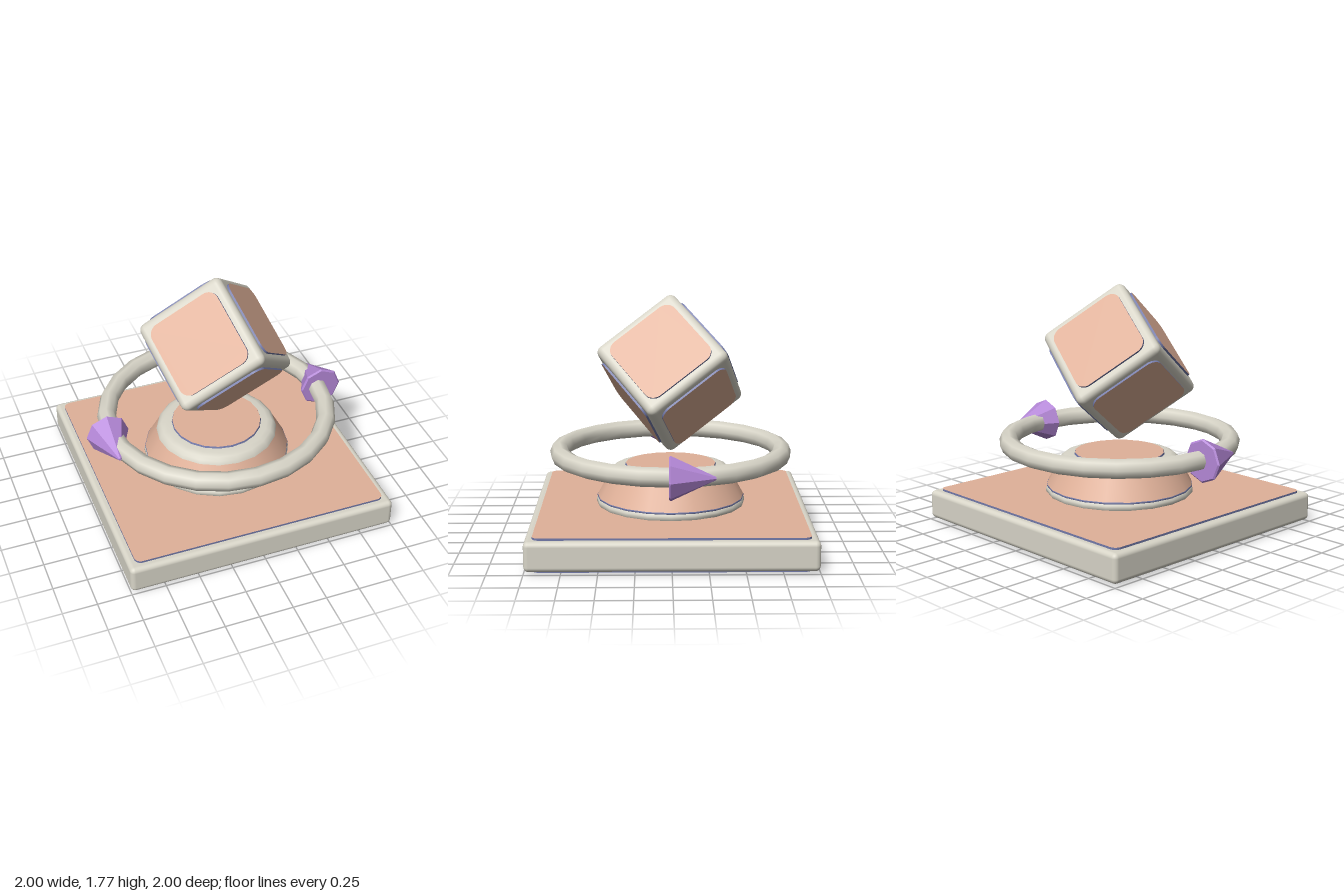
import * as THREE from 'three';
import { RoundedBoxGeometry } from 'three/addons/geometries/RoundedBoxGeometry.js';

const material = (name, color) => {
  const m = new THREE.MeshStandardMaterial({ color });
  m.name = name;
  return m;
};

// Plate with rounded corners lying on +z, from z = 0 to z = depth
function plateGeometry(half, corner, depth) {
  const s = new THREE.Shape();
  const c = half - corner;
  s.absarc(c, c, corner, 0, Math.PI / 2);
  s.absarc(-c, c, corner, Math.PI / 2, Math.PI);
  s.absarc(-c, -c, corner, Math.PI, Math.PI * 1.5);
  s.absarc(c, -c, corner, Math.PI * 1.5, Math.PI * 2);
  s.closePath();
  return new THREE.ExtrudeGeometry(s, { depth, bevelEnabled: false, curveSegments: 6 });
}

function lathe(points, segments) {
  return new THREE.LatheGeometry(points.map(([r, y]) => new THREE.Vector2(r, y)), segments);
}

export function createModel() {
  const model = new THREE.Group();
  model.name = 'spinningCubeStand';

  const shell = material('warm grey', 0xd8d5c8);
  const panel = material('peach', 0xe0b199);
  const trim = material('slate blue', 0x747bab);
  const arrow = material('purple', 0xb588d8);

  const add = (parent, name, geometry, mat) => {
    const mesh = new THREE.Mesh(geometry, mat);
    mesh.name = name;
    parent.add(mesh);
    return mesh;
  };

  // Square base with a panel above and below
  const base = new THREE.Group();
  base.name = 'base';
  model.add(base);
  add(base, 'baseSlab', new RoundedBoxGeometry(2, 0.21, 2, 3, 0.035), shell).position.y = 0.12;
  const basePlate = plateGeometry(0.945, 0.05, 0.025);
  for (const side of [1, -1]) {
    const p = add(base, side > 0 ? 'baseTopPanel' : 'baseBottomPanel', basePlate, [panel, trim]);
    p.rotation.x = -side * Math.PI / 2;
    p.position.y = 0.12 + side * 0.095;
  }

  // Round pedestal, built as stacked bands
  const pedestal = new THREE.Group();
  pedestal.name = 'pedestal';
  model.add(pedestal);
  const bands = [
    ['pedestalFoot', shell, [[0.53, 0.23], [0.545, 0.25], [0.545, 0.272], [0.535, 0.285]]],
    ['pedestalTrim', trim, [[0.535, 0.285], [0.54, 0.288], [0.54, 0.299], [0.535, 0.3]]],
    ['pedestalSlope', panel, [[0.538, 0.299], [0.45, 0.46]]],
    ['pedestalShoulder', shell, [[0.45, 0.46], [0.438, 0.488], [0.415, 0.508], [0.38, 0.52], [0.32, 0.522]]],
    ['pedestalTopTrim', trim, [[0.335, 0.52], [0.33, 0.535]]],
    ['pedestalTop', panel, [[0.33, 0.535], [0, 0.535]]],
  ];
  for (const [name, mat, points] of bands) add(pedestal, name, lathe(points, 20), mat);

  // Orbit ring
  const ring = add(model, 'orbitRing', new THREE.TorusGeometry(0.815, 0.07, 8, 24), shell);
  ring.rotation.x = Math.PI / 2;
  ring.position.y = 0.625;

  // Eight-sided arrowheads pointing opposite ways along the ring
  const cone = lathe([[0, 0], [0.146, 0], [0.158, 0.01], [0.01, 0.32], [0, 0.32]], 8).toNonIndexed();
  cone.computeVertexNormals();
  for (const side of [1, -1]) {
    const head = add(model, side > 0 ? 'leftArrowhead' : 'rightArrowhead', cone, arrow);
    head.rotation.x = -side * Math.PI / 2;
    head.position.set(side * 0.84, 0.625, side * 0.02);
  }

  // Cube balanced on one corner, its long diagonal upright
  const cube = new THREE.Group();
  cube.name = 'cube';
  const edges = [75, 195, 315].map((deg) => {
    const a = THREE.MathUtils.degToRad(deg);
    const h = Math.sqrt(2 / 3);
    return new THREE.Vector3(h * Math.cos(a), -Math.sqrt(1 / 3), h * Math.sin(a));
  });
  cube.quaternion.setFromRotationMatrix(new THREE.Matrix4().makeBasis(...edges));
  cube.position.y = 1.2;
  model.add(cube);
  add(cube, 'cubeBody', new RoundedBoxGeometry(0.7, 0.7, 0.7, 3, 0.05), shell);

  // One raised panel on each cube face
  const cubePlate = plateGeometry(0.282, 0.08, 0.025);
  const forward = new THREE.Vector3(0, 0, 1);
  for (const axis of ['x', 'y', 'z']) {
    for (const side of [1, -1]) {
      const normal = new THREE.Vector3();
      normal[axis] = side;
      const p = add(cube, 'cubePanel', cubePlate, [panel, trim]);
      p.quaternion.setFromUnitVectors(forward, normal);
      p.position.copy(normal).multiplyScalar(0.34);
    }
  }

  return model;
}
